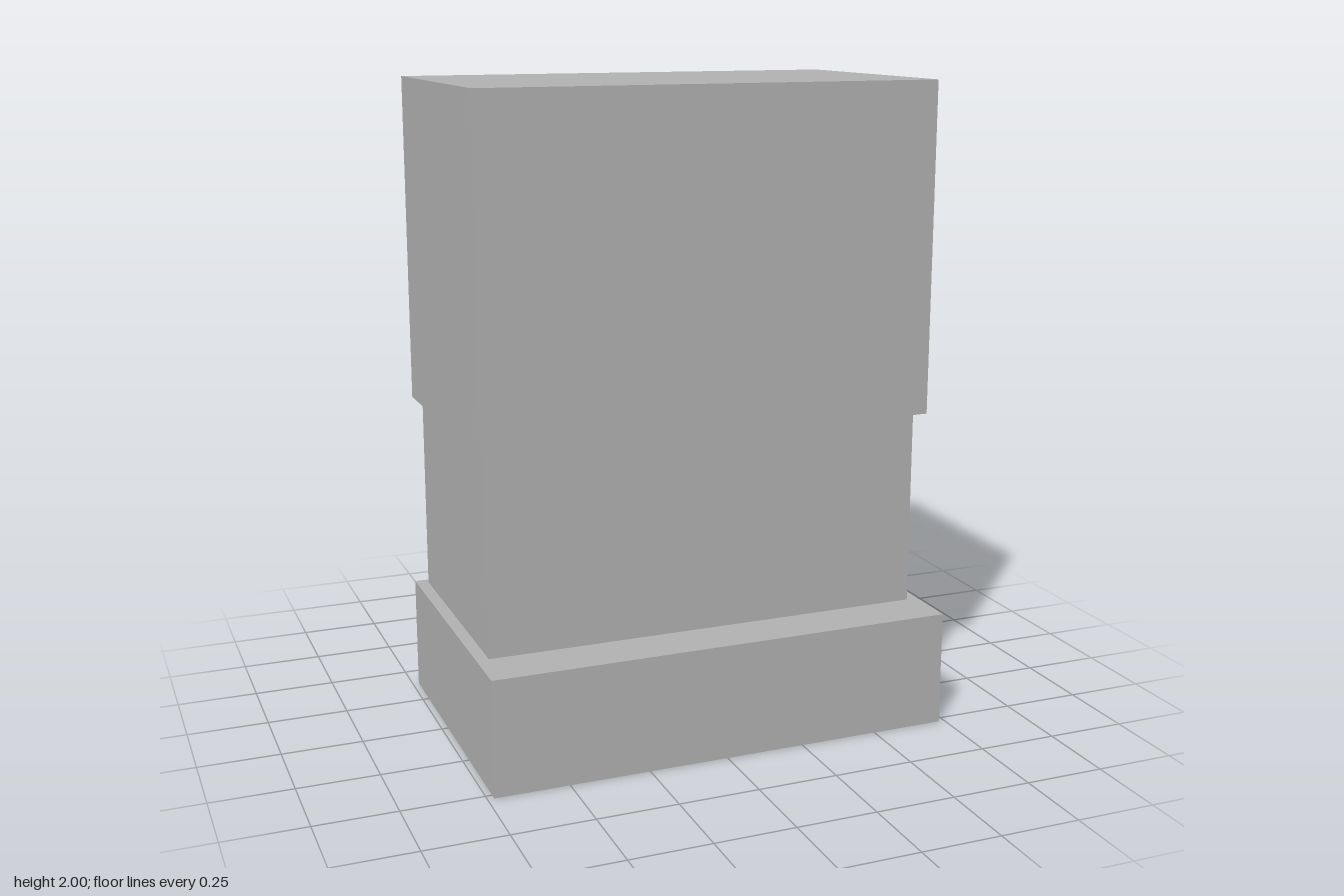
import * as THREE from 'three';

export function createModel() {
  const model = new THREE.Group();
  model.name = 'steppedBlockBody';
  const grey = new THREE.MeshStandardMaterial({ color: 0xb0b0b0 });
  grey.name = 'plainGrey';

  // Box given by its extents on each axis
  function block(name, [x0, x1], [y0, y1], [z0, z1]) {
    const mesh = new THREE.Mesh(new THREE.BoxGeometry(x1 - x0, y1 - y0, z1 - z0), grey);
    mesh.position.set((x0 + x1) / 2, (y0 + y1) / 2, (z0 + z1) / 2);
    mesh.name = name;
    model.add(mesh);
  }

  // Stacked body, from the ground up
  block('base', [-0.73, 0.73], [0, 0.36], [-0.39, 0.523]);
  block('midSection', [-0.692, 0.692], [0.36, 0.98], [-0.363, 0.363]);
  block('upperBlock', [-0.715, 0.715], [0.98, 2], [-0.406, 0.406]);

  // Pair of lugs on the back
  block('leftBackLug', [0.162, 0.488], [0.265, 0.493], [-0.523, -0.36]);
  block('rightBackLug', [-0.488, -0.162], [0.265, 0.493], [-0.523, -0.36]);

  return model;
}
